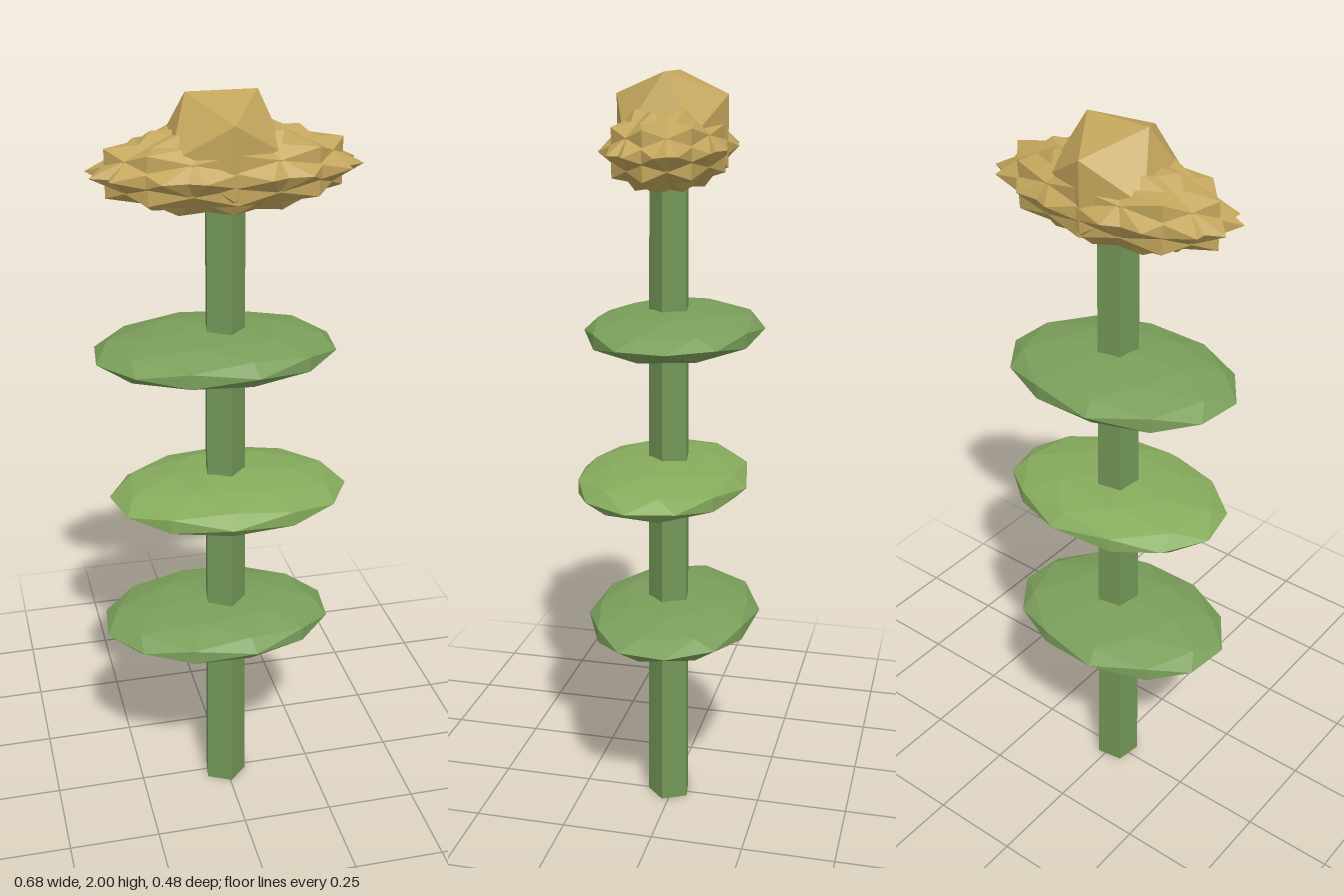
import * as THREE from 'three';

const material = (color) => new THREE.MeshStandardMaterial({ color, flatShading: true });

// Icosahedron turned about its own y axis first, then squashed into an ellipsoid
function facetedBlob(name, mat, detail, turn, size, position) {
  const geometry = new THREE.IcosahedronGeometry(1, detail);
  geometry.rotateY(turn);
  geometry.scale(...size);
  geometry.computeVertexNormals();
  const mesh = new THREE.Mesh(geometry, mat);
  mesh.name = name;
  mesh.position.set(...position);
  return mesh;
}

export function createModel() {
  const model = new THREE.Group();
  model.name = 'flower';
  const stemMat = material(0x729656);
  const leafMat = material(0x7a9e5a);
  const brightLeafMat = material(0x86ab5c);
  const goldMat = material(0xc2a55c);

  // Five-sided stem, slightly tapered
  const stem = new THREE.Mesh(
    new THREE.CylinderGeometry(0.053, 0.062, 1.8, 5, 1, false, THREE.MathUtils.degToRad(9)),
    stemMat
  );
  stem.name = 'stem';
  stem.position.set(-0.006, 0.9, 0.008);
  model.add(stem);

  // Three flat leaves stacked along the stem
  const leaves = [
    { y: 0.55, x: -0.027, z: 0, turn: 0.2, mat: leafMat },
    { y: 0.95, x: 0.004, z: 0.022, turn: -0.12, mat: brightLeafMat },
    { y: 1.35, x: -0.027, z: 0, turn: 0.2, mat: leafMat },
  ];
  for (const { x, y, z, turn, mat } of leaves) {
    model.add(facetedBlob('leaf', mat, 1, turn, [0.32, 0.062, 0.233], [x, y, z]));
  }

  // Spiky blossom: eight crossed petals sharing one oval envelope
  const blossom = new THREE.Group();
  blossom.name = 'blossom';
  for (let i = 0; i < 8; i++) {
    const turn = (i * Math.PI) / 4;
    blossom.add(facetedBlob('petal', goldMat, 0, turn, [0.347, 0.113, 0.162], [0, 1.817, 0.004]));
  }
  // Central bud
  blossom.add(facetedBlob('bud', goldMat, 0, 0, [0.168, 0.168, 0.168], [-0.01, 1.857, 0.004]));
  model.add(blossom);

  return model;
}
